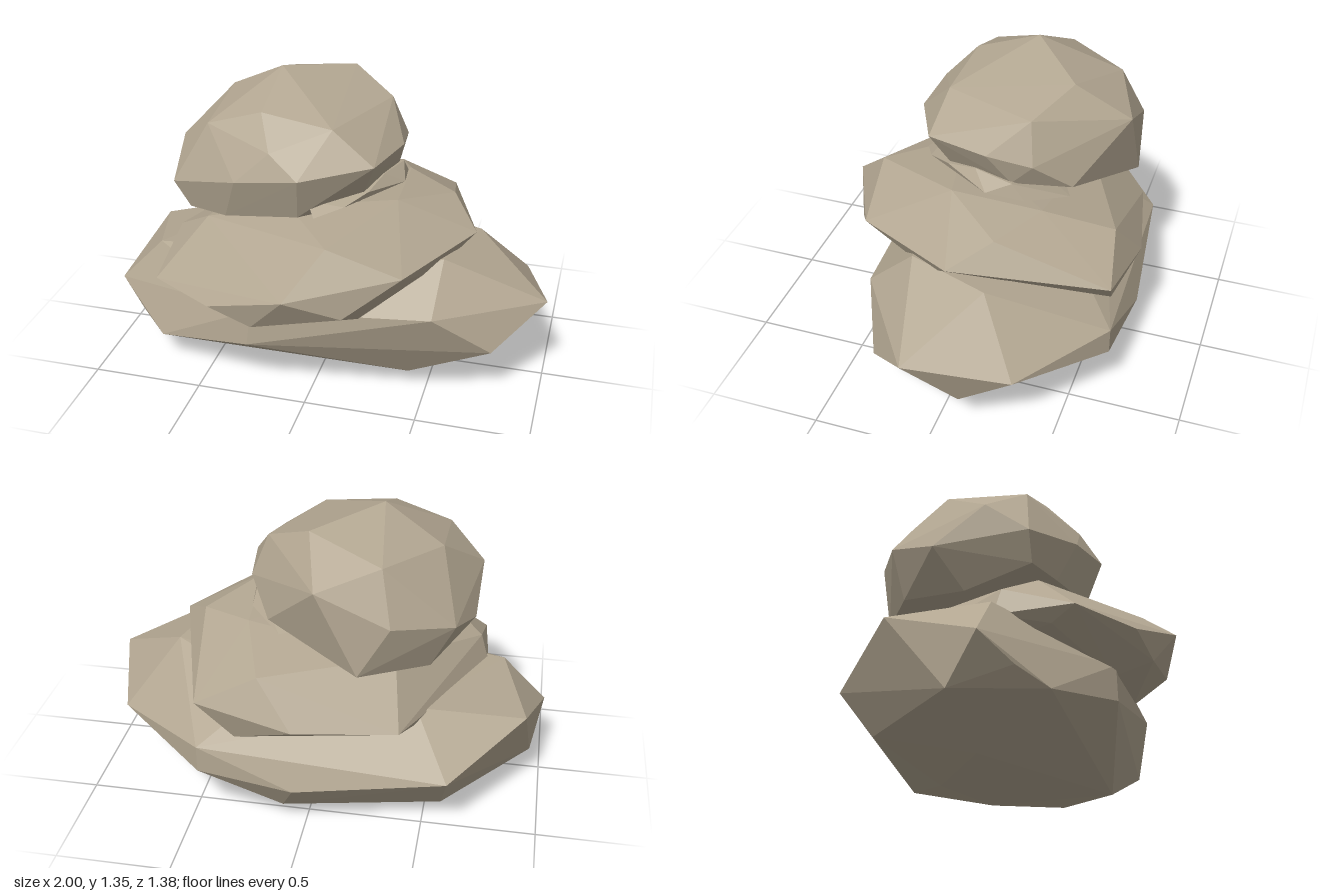
import * as THREE from 'three';
import { ConvexGeometry } from 'three/addons/geometries/ConvexGeometry.js';

const stoneMaterial = new THREE.MeshStandardMaterial({ color: 0xb2a691, flatShading: true });
stoneMaterial.name = 'warm grey stone';

// A chiselled stone: the convex skin around its few corner points.
function stone(name, corners) {
  const points = corners.map((c) => new THREE.Vector3(...c));
  const mesh = new THREE.Mesh(new ConvexGeometry(points), stoneMaterial);
  mesh.name = name;
  return mesh;
}

export function createModel() {
  const group = new THREE.Group();
  group.name = 'stackedStones';

  // Wide base stone, leaning up towards +x
  group.add(stone('baseStone', [
    // underside
    [-0.52, 0, -0.04], [-0.15, 0.015, -0.35], [-0.95, 0.1, 0], [-0.73, 0.14, 0.34],
    [0.42, 0.085, 0.26], [0.86, 0.19, -0.11], [0.35, 0.07, -0.3], [0.1, 0.085, -0.59],
    [-0.58, 0.1, -0.47],
    // rim
    [-1, 0.3, 0.14], [-0.86, 0.2, 0.24], [-0.27, 0.25, 0.48], [0.79, 0.27, 0.3],
    [1, 0.44, 0.09], [0.87, 0.36, -0.35], [0.46, 0.39, -0.66], [0.46, 0.27, -0.66],
    [0.04, 0.23, -0.69], [-0.61, 0.3, -0.62],
    // shoulders
    [-0.92, 0.45, -0.28], [-0.8, 0.51, 0.12], [-0.25, 0.42, 0.47], [0.54, 0.46, 0.41],
    [0.55, 0.65, 0.2], [0.66, 0.63, -0.16], [0.2, 0.56, -0.42], [-0.45, 0.53, -0.4],
  ]));

  // Flat middle stone
  group.add(stone('middleStone', [
    // underside
    [-0.23, 0.38, 0.45], [-0.2, 0.44, 0.62], [-0.66, 0.45, 0.32], [0.23, 0.43, 0.42],
    [0.5, 0.55, 0.15], [0.3, 0.44, -0.62], [-0.5, 0.43, -0.3],
    // rim
    [-0.04, 0.62, 0.69], [-0.4, 0.5, 0.6], [-0.7, 0.5, 0.43], [-0.73, 0.49, 0.1],
    [0.19, 0.52, 0.59], [0.42, 0.68, 0.47], [0.66, 0.7, 0.01], [0.46, 0.61, -0.65],
    [0.04, 0.53, -0.69], [-0.4, 0.52, -0.6],
    // top
    [-0.69, 0.62, 0.12], [-0.52, 0.73, 0.22], [-0.15, 0.82, 0.2], [0.1, 0.8, 0.51],
    [0.32, 0.86, 0.1], [0.53, 0.8, -0.16], [0.3, 0.83, -0.3], [0.2, 0.73, -0.6],
    [-0.35, 0.74, -0.35],
  ]));

  // Small sliver wedged under the top stone
  group.add(stone('wedgeStone', [
    [-0.05, 0.88, 0.25], [0, 0.84, 0.33], [0.12, 0.88, 0.27], [0.2, 0.91, 0.16],
    [0.24, 0.94, 0.02], [0.29, 0.93, -0.16], [0.32, 0.88, -0.05], [0.3, 0.86, -0.22],
    [0.15, 0.82, -0.38], [0, 0.83, -0.3], [0.1, 0.82, 0.1], [0, 0.92, -0.1],
  ]));

  // Rounded top stone, overhanging towards -x and the back
  group.add(stone('topStone', [
    // underside
    [-0.55, 0.72, -0.1], [-0.6, 0.77, 0.22], [-0.42, 0.77, 0.27], [-0.08, 0.82, 0.3],
    [0.15, 0.83, 0.12], [0.27, 0.92, -0.15], [0.19, 0.9, -0.4], [-0.22, 0.78, -0.6],
    [-0.5, 0.75, -0.4],
    // girth
    [-0.67, 0.89, 0.23], [-0.35, 0.97, 0.34], [-0.06, 1.02, 0.37], [0.24, 1.06, 0.23],
    [0.31, 1.06, -0.05], [0.29, 1.03, -0.25], [-0.04, 1.14, -0.59], [-0.35, 1, -0.58],
    [-0.6, 0.95, -0.42], [-0.67, 0.89, -0.2], [-0.68, 1.04, 0.04],
    // crown
    [-0.2, 1.11, 0.31], [0.05, 1.2, 0.2], [-0.27, 1.24, 0.18], [-0.52, 1.16, 0.17],
    [-0.52, 1.21, -0.2], [-0.26, 1.35, -0.11], [0.02, 1.3, -0.35], [0.22, 1.21, -0.22],
    [-0.3, 1.22, -0.48],
  ]));

  return group;
}
